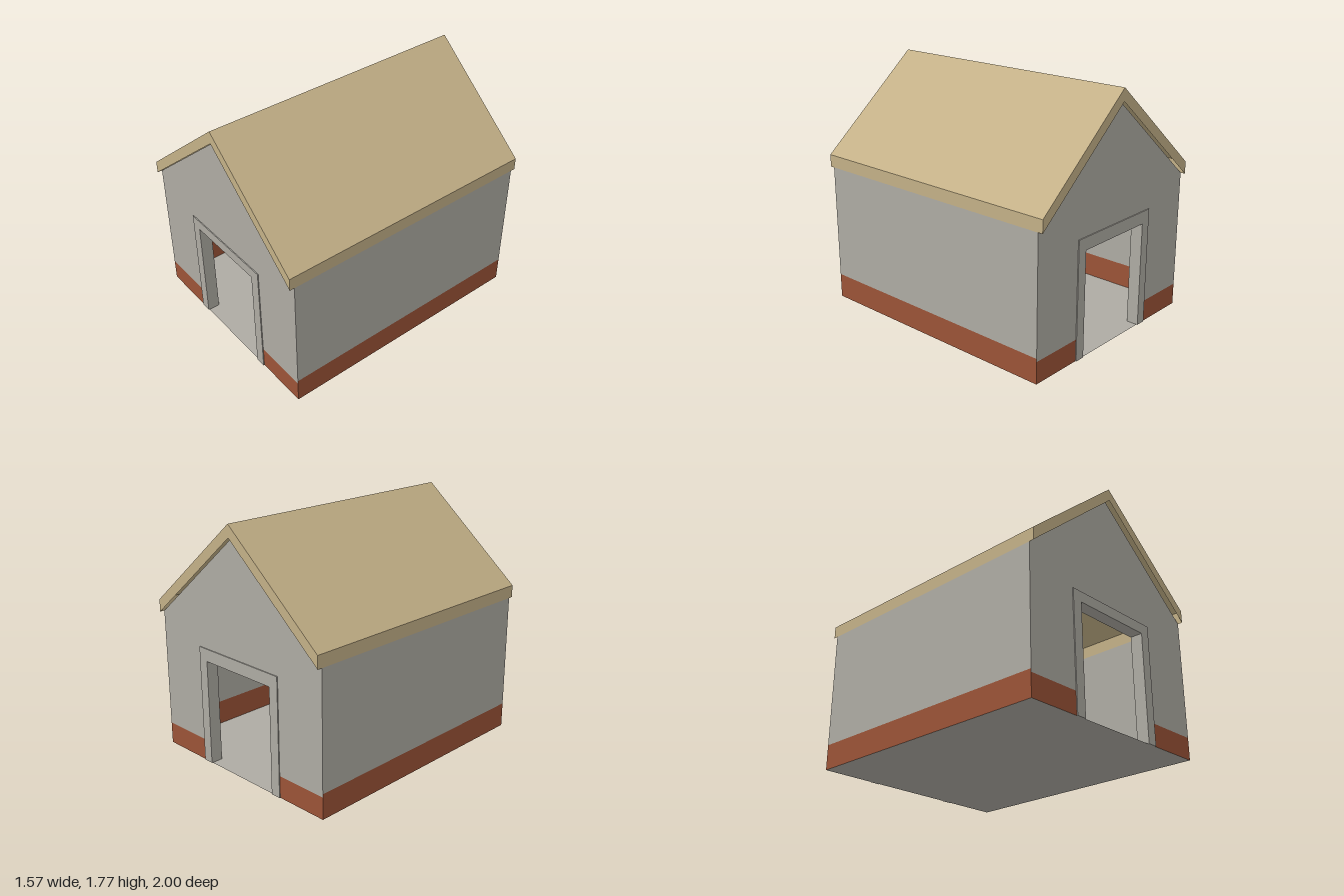
import * as THREE from 'three';

const HALF_W = 0.785, WALL_Z = 0.965, ROOF_Z = 1;
const EAVE = 1.02, RIDGE = 1.68, FASCIA = 0.09;
const OPEN_W = 0.315, FRAME_W = 0.39, FRAME_TOP = 0.855;

export function createModel() {
  const group = new THREE.Group();
  const material = (name, color) =>
    new THREE.MeshStandardMaterial({ name, color, side: THREE.DoubleSide });
  const plaster = material('grey plaster', 0xaeaba3);
  const brick = material('red brick', 0x9b5337);
  const roofing = material('tan roof', 0xc3b087);

  const add = (name, geometry, mat, parent = group) => {
    const mesh = new THREE.Mesh(geometry, mat);
    mesh.name = name;
    parent.add(mesh);
    return mesh;
  };
  const shape = (points) => new THREE.Shape(points.map(([x, y]) => new THREE.Vector2(x, y)));

  // Flat panel through four corners
  const quad = (a, b, c, d) => {
    const g = new THREE.BufferGeometry();
    g.setAttribute('position', new THREE.Float32BufferAttribute([...a, ...b, ...c, ...d], 3));
    g.setIndex([0, 1, 2, 0, 2, 3]);
    g.computeVertexNormals();
    return g;
  };

  // Floor
  add('floor', new THREE.PlaneGeometry(HALF_W * 2, WALL_Z * 2).rotateX(-Math.PI / 2), plaster);

  // Side walls with a brick base, and the roof slope above each
  for (const [side, s] of [['left', 1], ['right', -1]]) {
    const x = HALF_W * s, f = s * ROOF_Z, w = s * WALL_Z;
    const wall = (y0, y1) => quad([x, y0, w], [x, y0, -w], [x, y1, -w], [x, y1, w]);
    add(side + 'BrickBase', wall(0, 0.18), brick);
    add(side + 'Wall', wall(0.18, EAVE), plaster);
    const y = EAVE + FASCIA, top = RIDGE + FASCIA;
    add(side + 'RoofSlope', quad([x, y, f], [x, y, -f], [0, top, -f], [0, top, f]), roofing);
    add(side + 'EaveBoard', quad([x, EAVE, f], [x, EAVE, -f], [x, y, -f], [x, y, f]), roofing);
  }

  // Both gable ends; the back one is turned round
  for (const [end, turn, baseTop, lintel] of [['front', 0, 0.158, 0.78], ['back', Math.PI, 0.158, 0.765]]) {
    const gable = new THREE.Group();
    gable.name = end + 'Gable';
    gable.rotation.y = turn;
    group.add(gable);
    const hole = 0.37, holeTop = 0.83;

    // Wall around the doorway
    add(end + 'Wall', new THREE.ShapeGeometry(shape([
      [-HALF_W, baseTop], [-hole, baseTop], [-hole, holeTop], [hole, holeTop], [hole, baseTop],
      [HALF_W, baseTop], [HALF_W, EAVE], [0, RIDGE], [-HALF_W, EAVE],
    ])), plaster, gable).position.z = WALL_Z;

    // Brick base either side of the doorway
    for (const s of [-1, 1]) {
      add(end + 'BrickBase', new THREE.PlaneGeometry(HALF_W - hole, baseTop), brick, gable)
        .position.set(s * (HALF_W + hole) / 2, baseTop / 2, WALL_Z);
    }

    // Door frame, standing slightly proud of the wall
    add(end + 'DoorFrame', new THREE.ExtrudeGeometry(shape([
      [-FRAME_W, 0], [-OPEN_W, 0], [-OPEN_W, lintel], [OPEN_W, lintel], [OPEN_W, 0],
      [FRAME_W, 0], [FRAME_W, FRAME_TOP], [-FRAME_W, FRAME_TOP],
    ]), { depth: 0.09, bevelEnabled: false }), plaster, gable).position.z = 0.882;

    // Sloping board under the roof edge
    add(end + 'BargeBoard', new THREE.ShapeGeometry(shape([
      [-HALF_W, EAVE], [0, RIDGE], [HALF_W, EAVE],
      [HALF_W, EAVE + FASCIA], [0, RIDGE + FASCIA], [-HALF_W, EAVE + FASCIA],
    ])), roofing, gable).position.z = ROOF_Z;
  }

  return group;
}
